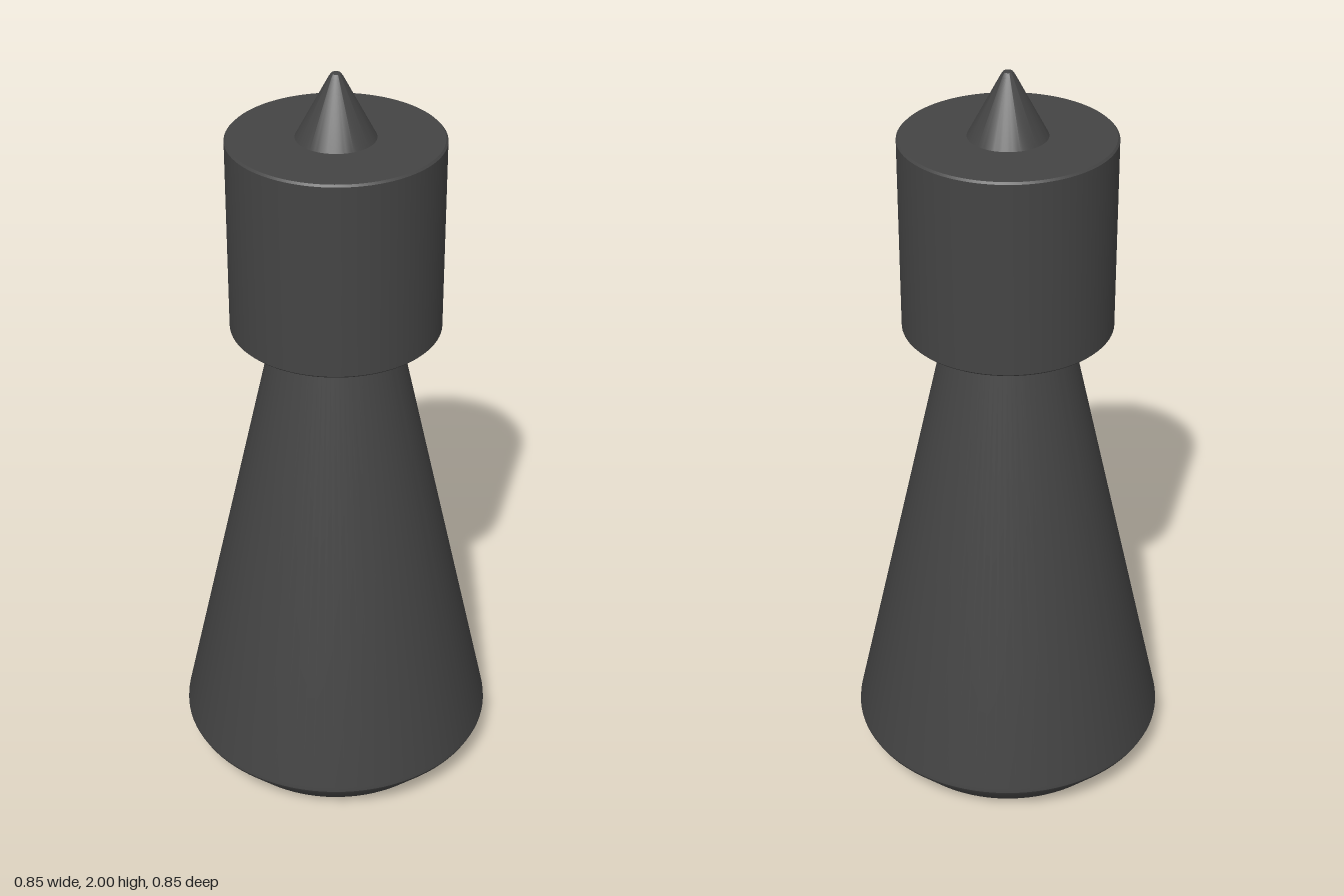
import * as THREE from 'three';
import { toCreasedNormals } from 'three/addons/utils/BufferGeometryUtils.js';

const SEGMENTS = 96;

// Turned part from [radius, height] points listed bottom to top
function turned(name, profile, material) {
  const points = profile.map(([r, y]) => new THREE.Vector2(r, y));
  const geometry = toCreasedNormals(new THREE.LatheGeometry(points, SEGMENTS), Math.PI / 7);
  const mesh = new THREE.Mesh(geometry, material);
  mesh.name = name;
  return mesh;
}

export function createModel() {
  const group = new THREE.Group();
  group.name = 'turnedPiece';
  const charcoal = new THREE.MeshStandardMaterial({ color: 0x444444 });
  charcoal.name = 'charcoal';

  // Tapered body with a chamfered foot
  group.add(turned('body', [
    [0, 0], [0.335, 0], [0.341, 0.004], [0.418, 0.09],
    [0.423, 0.1], [0.422, 0.112], [0.157, 1.32],
  ], charcoal));

  // Cylindrical head with slightly softened rims
  group.add(turned('head', [
    [0, 1.316], [0.266, 1.316], [0.271, 1.321],
    [0.271, 1.829], [0.266, 1.834], [0, 1.834],
  ], charcoal));

  // Pointed tip with a small blunt end
  group.add(turned('tip', [
    [0.101, 1.832], [0.018, 1.988], [0.012, 1.997], [0, 2],
  ], charcoal));

  return group;
}
